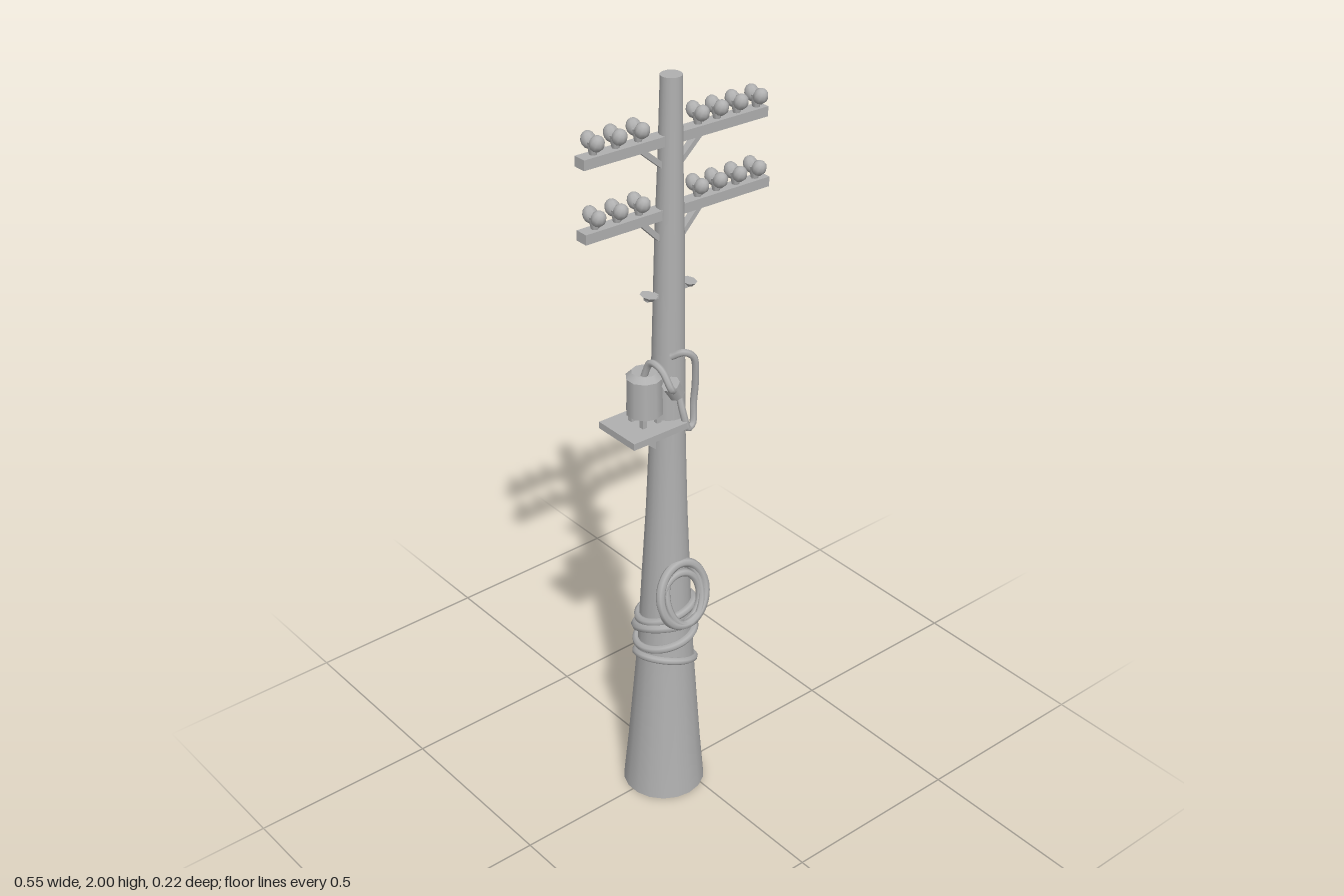
import * as THREE from 'three';

export function createModel() {
  const root = new THREE.Group();
  const grey = new THREE.MeshStandardMaterial({ color: 0xb0b0b0, side: THREE.DoubleSide });
  grey.name = 'weathered grey';

  const V = (x, y, z) => new THREE.Vector3(x, y, z);
  const add = (name, geo, parent = root) => {
    const m = new THREE.Mesh(geo, grey);
    m.name = name;
    parent.add(m);
    return m;
  };
  const tube = (name, pts, r, closed = false, parent = root) => {
    const curve = new THREE.CatmullRomCurve3(pts.map(p => V(...p)), closed);
    return add(name, new THREE.TubeGeometry(curve, pts.length * 5, r, 7, closed), parent);
  };
  // straight bar of rectangular section between two points
  const bar = (name, a, b, h, d, parent = root) => {
    const A = V(...a), B = V(...b);
    const m = add(name, new THREE.BoxGeometry(A.distanceTo(B), h, d), parent);
    m.position.copy(A).lerp(B, 0.5);
    m.quaternion.setFromUnitVectors(V(1, 0, 0), B.clone().sub(A).normalize());
    return m;
  };

  // Leaning, tapered pole: [radius, height]
  const leanX = y => -0.05 + 0.0155 * y;
  const profile = [[0.108, 0], [0.097, 0.12], [0.087, 0.25], [0.077, 0.38], [0.07, 0.5], [0.063, 0.65],
    [0.053, 0.85], [0.046, 1.05], [0.041, 1.3], [0.036, 1.6], [0.03, 1.8], [0.026, 2]];
  const pole = new THREE.LatheGeometry(profile.map(p => new THREE.Vector2(...p)), 18);
  const pos = pole.attributes.position;
  for (let i = 0; i < pos.count; i++) pos.setX(i, pos.getX(i) + leanX(pos.getY(i)));
  add('pole', pole);
  const cap = add('poleTop', new THREE.CircleGeometry(0.026, 18));
  cap.rotation.x = -Math.PI / 2;
  cap.position.set(leanX(2), 2, 0);

  // Insulator: two lobes leaning apart on a short stem
  const lobe = new THREE.SphereGeometry(1, 9, 7);
  const stem = new THREE.CylinderGeometry(0.015, 0.008, 0.036, 8);
  function insulator(x, y, parent) {
    const g = new THREE.Group();
    g.name = 'insulator';
    g.position.set(x, y, -0.005);
    add('stem', stem, g).position.y = 0.018;
    for (const s of [-1, 1]) {
      const m = add('lobe', lobe, g);
      m.position.set(0, 0.034, s * 0.015);
      m.scale.set(0.018, 0.021, 0.018);
      m.rotation.x = s * 0.5;
    }
    parent.add(g);
  }

  // Crossarms with insulators and diagonal braces
  const arms = [
    { l: [-0.276, 1.857], r: [0.263, 1.84], drop: 0.05 },
    { l: [-0.276, 1.677], r: [0.272, 1.66], drop: 0.06 }];
  for (const { l, r, drop } of arms) {
    const g = new THREE.Group();
    g.name = 'crossarm';
    root.add(g);
    bar('arm', [...l, -0.005], [...r, -0.005], 0.025, 0.034, g);
    const yAt = x => THREE.MathUtils.mapLinear(x, l[0], r[0], l[1], r[1]);
    for (const x of [-0.238, -0.175, -0.111, 0.063, 0.12, 0.18, 0.24]) insulator(x, yAt(x) + 0.008, g);
    for (const s of [-1, 1]) {
      const x = -0.022 + s * 0.088;
      bar('brace', [x, yAt(x) - 0.008, -0.003], [-0.022 + s * 0.018, yAt(x) - drop - 0.02, -0.003], 0.013, 0.018, g);
    }
  }

  // Climbing pegs
  for (const s of [-1, 1]) {
    const peg = add('climbingPeg', new THREE.CylinderGeometry(0.026, 0.013, 0.012, 8));
    peg.scale.x = 0.7;
    peg.position.set(-0.028 + s * 0.06, 1.466, 0);
    bar('pegShaft', [-0.028, 1.464, 0], [-0.028 + s * 0.07, 1.464, 0], 0.011, 0.016);
  }

  // Transformer on its shelf
  const shelf = add('shelf', new THREE.BoxGeometry(0.165, 0.018, 0.135));
  shelf.position.set(-0.11, 1.127, 0.002);
  shelf.rotation.z = -0.02;
  bar('shelfBrace', [-0.14, 1.115, 0], [-0.06, 1.045, 0], 0.016, 0.02);
  const body = add('transformerBody', new THREE.CylinderGeometry(0.044, 0.046, 0.1, 10));
  body.position.set(-0.104, 1.212, 0);
  const lid = add('transformerLid', new THREE.CylinderGeometry(0.032, 0.046, 0.014, 10));
  lid.position.set(-0.104, 1.268, 0);
  for (const sx of [-1, 1]) for (const sz of [-1, 1]) {
    bar('transformerFoot', [-0.104 + sx * 0.022, 1.13, sz * 0.022], [-0.104 + sx * 0.022, 1.17, sz * 0.022], 0.013, 0.013);
  }
  tube('transformerLead', [[-0.118, 1.26, 0.01], [-0.113, 1.315, 0.035], [-0.112, 1.312, 0.075],
    [-0.105, 1.27, 0.102], [-0.085, 1.255, 0.09]], 0.009);
  const bushing = add('bushing', new THREE.CylinderGeometry(0.023, 0.02, 0.04, 8));
  bushing.position.set(-0.083, 1.255, 0.085);
  bushing.rotation.z = 0.5;
  tube('bushingLink', [[-0.085, 1.25, 0.085], [-0.075, 1.235, 0.06], [-0.05, 1.225, 0.035]], 0.01);

  // Cable running down the front of the pole
  tube('frontCable', [[-0.05, 1.31, 0.035], [-0.03, 1.325, 0.06], [-0.006, 1.305, 0.066], [0.005, 1.24, 0.06],
    [0.006, 1.17, 0.052], [0, 1.115, 0.056], [-0.018, 1.11, 0.06], [-0.028, 1.15, 0.055], [-0.03, 1.2, 0.04]], 0.009);

  // Hanging coil of cable, leaning out from the pole at its bottom
  const coil = (cx, cy, rx, ry, zTop, zBottom, r) => {
    const pts = [];
    for (let i = 0; i < 12; i++) {
      const a = i / 12 * Math.PI * 2, t = (1 - Math.cos(a)) / 2;
      pts.push([cx + Math.sin(a) * rx, cy + Math.cos(a) * ry, zTop + (zBottom - zTop) * t]);
    }
    tube('cableCoil', pts, r, true);
  };
  coil(-0.044, 0.635, 0.072, 0.083, 0.055, 0.092, 0.012);
  coil(-0.05, 0.62, 0.062, 0.072, 0.06, 0.082, 0.01);
  coil(-0.04, 0.632, 0.055, 0.08, 0.052, 0.095, 0.009);

  // Tilted cable wraps: height, radius, slope in x, slope in z, thickness
  for (const [y, R, sx, sz, r] of [[0.555, 0.071, 0.015, 0.02, 0.011], [0.51, 0.076, -0.012, 0.03, 0.013],
    [0.475, 0.075, 0.015, 0.012, 0.011], [0.405, 0.076, -0.028, 0.018, 0.01]]) {
    const pts = [];
    for (let i = 0; i < 14; i++) {
      const a = i / 14 * Math.PI * 2;
      pts.push([leanX(y) + Math.cos(a) * R, y + Math.cos(a) * sx + Math.sin(a) * sz, Math.sin(a) * R]);
    }
    tube('cableWrap', pts, r, true);
  }
  return root;
}
